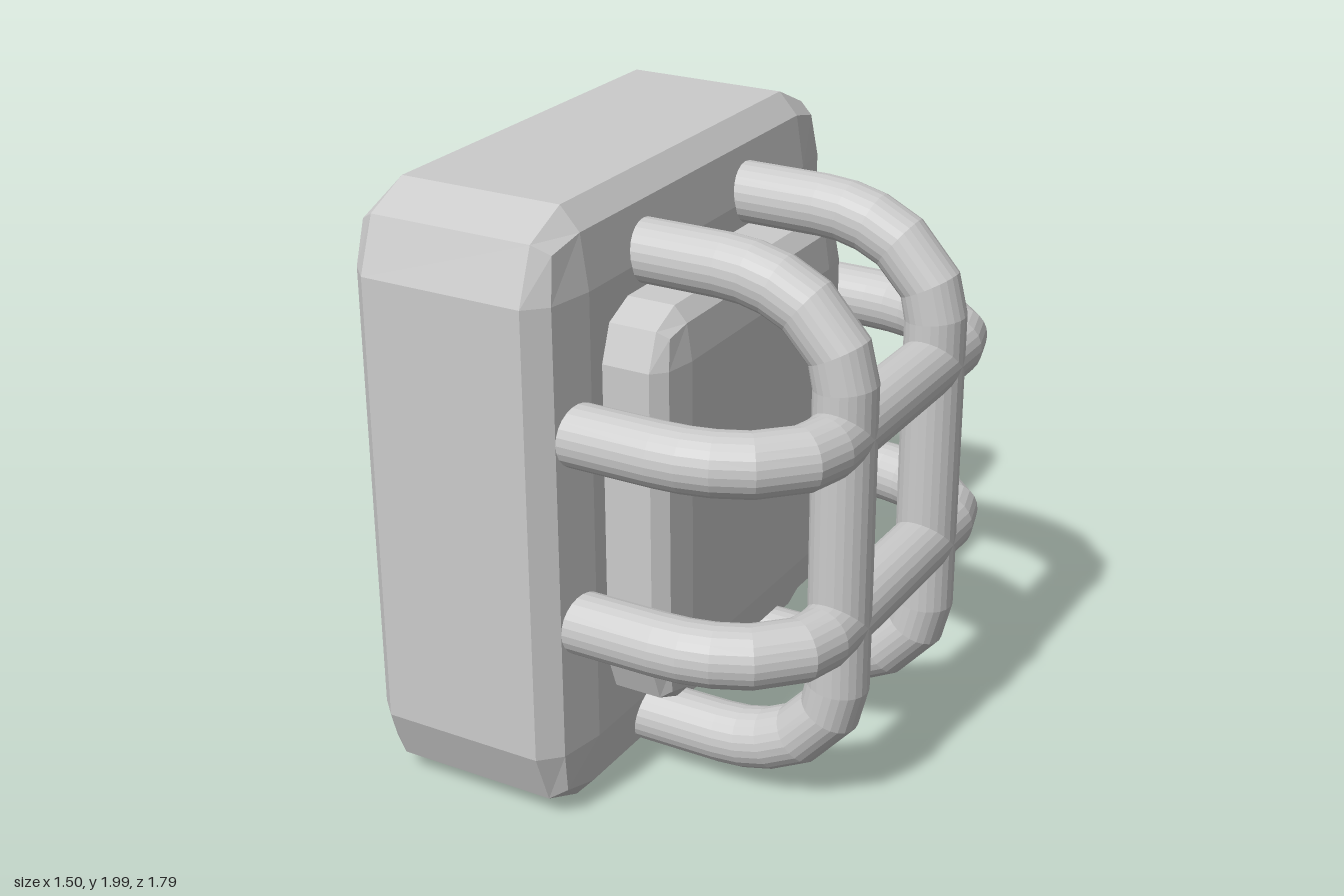
import * as THREE from 'three';

const material = new THREE.MeshStandardMaterial({ color: 0xcccccc, flatShading: true });

// Block whose edges and corners are rounded in two steps, a quarter of each half size
function bevelledBlock(name, center, half) {
  const geometry = new THREE.BoxGeometry(1, 1, 1, 3, 3, 3);
  const pos = geometry.attributes.position;
  const p = new THREE.Vector3();
  const dir = new THREE.Vector3();
  const outer = (c) => (Math.abs(c) > 0.4 ? Math.sign(c) : 0);
  for (let i = 0; i < pos.count; i++) {
    p.fromBufferAttribute(pos, i);
    dir.set(outer(p.x), outer(p.y), outer(p.z)).normalize();
    p.set(Math.sign(p.x), Math.sign(p.y), Math.sign(p.z)).multiplyScalar(0.75);
    p.addScaledVector(dir, 0.25).multiply(half);
    pos.setXYZ(i, p.x, p.y, p.z);
  }
  geometry.computeVertexNormals();
  const mesh = new THREE.Mesh(geometry, material);
  mesh.name = name;
  mesh.position.copy(center);
  return mesh;
}

// Curve that steps exactly from one given point to the next
class StepCurve extends THREE.Curve {
  constructor(points) {
    super();
    this.points = points;
  }
  index(u) {
    return Math.round(u * (this.points.length - 1));
  }
  getPointAt(u, target = new THREE.Vector3()) {
    return target.copy(this.points[this.index(u)]);
  }
  getTangentAt(u, target = new THREE.Vector3()) {
    const i = this.index(u);
    const pts = this.points;
    const here = pts[i];
    const before = i > 0 ? here.clone().sub(pts[i - 1]).normalize() : new THREE.Vector3();
    const after = i < pts.length - 1 ? pts[i + 1].clone().sub(here).normalize() : new THREE.Vector3();
    return target.copy(before).add(after).normalize();
  }
}

// U-shaped bar in the xy plane: out from the block, round a bend, across and back
function cageBar(name, halfSpan, halfStraight) {
  const upper = [new THREE.Vector3(-0.09, halfSpan, 0)];
  for (const degrees of [0, 12, 25, 42, 70, 90]) {
    const a = THREE.MathUtils.degToRad(degrees);
    upper.push(new THREE.Vector3(
      0.25 + 0.4 * Math.sin(a),
      halfStraight + (halfSpan - halfStraight) * Math.cos(a),
      0
    ));
  }
  const lower = upper.map((v) => new THREE.Vector3(v.x, -v.y, 0)).reverse();
  const points = [...upper, ...lower];
  const geometry = new THREE.TubeGeometry(new StepCurve(points), points.length - 1, 0.1, 24, false);
  const mesh = new THREE.Mesh(geometry, material);
  mesh.name = name;
  return mesh;
}

export function createModel() {
  const model = new THREE.Group();
  model.name = 'cagedWallLamp';

  // Back plate and the raised pad behind the cage
  model.add(bevelledBlock('backPlate', new THREE.Vector3(-0.385, 1.005, 0), new THREE.Vector3(0.37, 0.995, 0.895)));
  model.add(bevelledBlock('lampPad', new THREE.Vector3(-0.035, 1.005, 0.01), new THREE.Vector3(0.24, 0.665, 0.6)));

  // Guard cage: two upright and two level bars
  const cage = new THREE.Group();
  cage.name = 'guardCage';
  for (const z of [0.335, -0.3]) {
    const bar = cageBar('uprightBar', 0.8, 0.5);
    bar.position.set(0, 0.973, z);
    cage.add(bar);
  }
  for (const y of [1.32, 0.69]) {
    const bar = cageBar('levelBar', 0.72, 0.45);
    bar.rotation.x = Math.PI / 2;
    bar.position.set(0, y, 0.01);
    cage.add(bar);
  }
  model.add(cage);
  return model;
}
